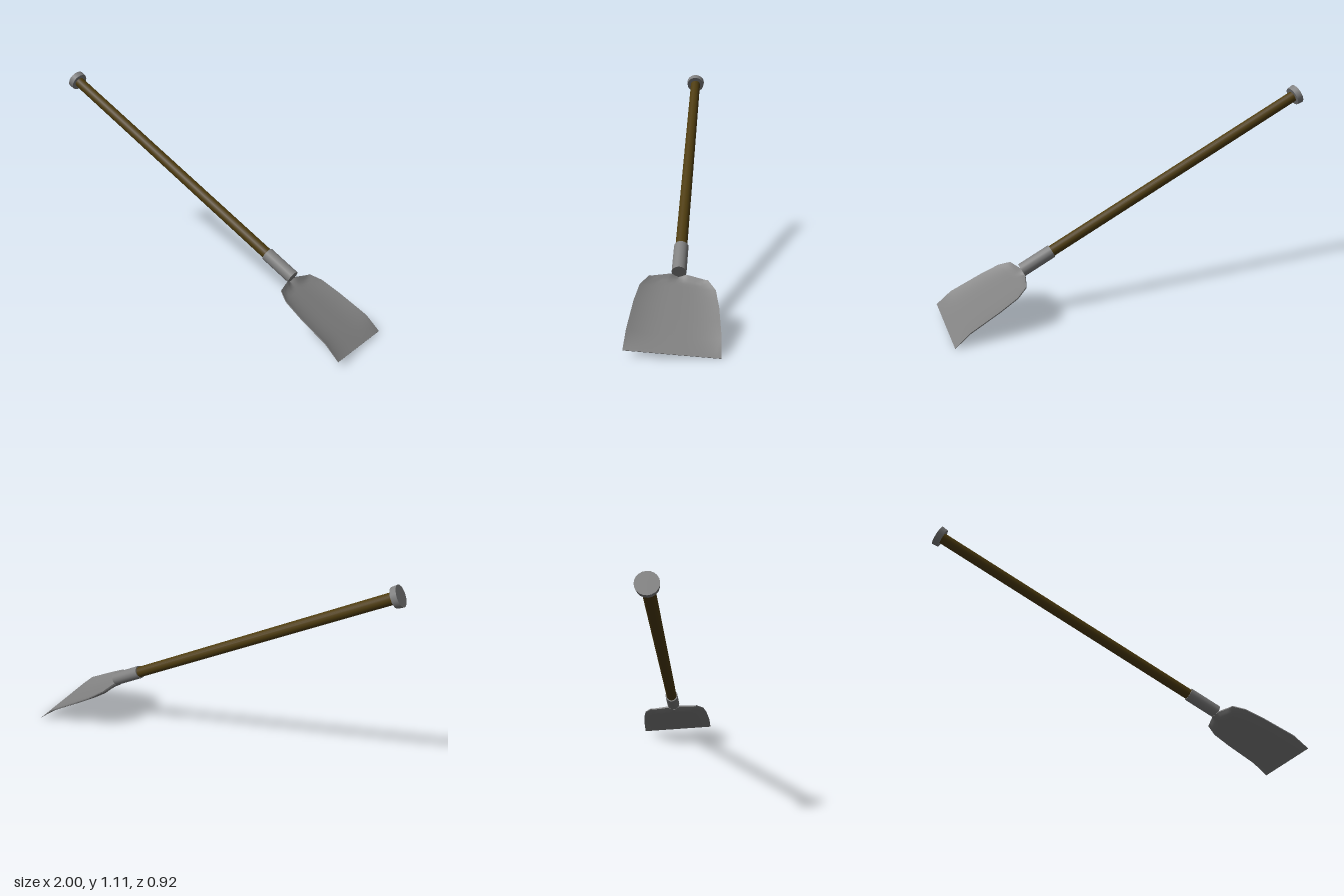
import * as THREE from 'three';
import { toCreasedNormals } from 'three/addons/utils/BufferGeometryUtils.js';

const COLS = 25, TIP = 0.483;
const clamp = THREE.MathUtils.clamp;

// Half width of the blade from the shoulder (v = 0) to the cutting edge (v = 1)
const WIDTHS = [[0, 0.14], [0.14, 0.18], [0.38, 0.198], [0.78, 0.213], [1, 0.217]];
function halfWidth(v) {
  const k = Math.max(1, WIDTHS.findIndex(([t]) => t >= v));
  const [t0, w0] = WIDTHS[k - 1], [t1, w1] = WIDTHS[k];
  return w0 + (w1 - w0) * (v - t0) / (t1 - t0);
}

// Shallow dished blade: turned-up sides and back, flattening to a sharp edge
function bladeGeometry() {
  const rows = [0, 0.03, 0.06, 0.1, 0.14, 0.25, 0.38, 0.58, 0.78, 0.9, 1];
  const pos = [], index = [], loop = COLS * 2;
  for (const v of rows) {
    for (let i = 0; i < loop; i++) {
      const top = i < COLS;
      const u = ((top ? i : loop - 1 - i) / (COLS - 1)) * 2 - 1;
      const back = -0.008 + 0.038 * Math.abs(u);
      const fade = clamp((1 - v) / 0.22, 0, 1);
      // The back lip dips at the middle, under the mouth of the socket
      const lip = clamp(1 - v / 0.08, 0, 1) * clamp(Math.abs(u) / 0.3, 0, 0.85);
      const rise = Math.max(Math.abs(u) ** 3, lip) * 0.023 * fade;
      const thick = 0.002 + 0.007 * fade * (1 - 0.5 * u ** 4);
      const floor = -0.034 + 0.002 * fade;
      pos.push(u * halfWidth(v), back + (TIP - back) * v, floor + rise - (top ? 0 : thick));
    }
  }
  for (let j = 0; j < rows.length - 1; j++) {
    for (let i = 0; i < loop; i++) {
      const a = j * loop + i, b = j * loop + (i + 1) % loop;
      index.push(a, b, b + loop, a, b + loop, a + loop);
    }
  }
  // Close the back and the cutting edge
  const last = (rows.length - 1) * loop;
  for (let i = 0; i < COLS - 1; i++) {
    const p = loop - 1 - i, q = p - 1;
    index.push(i, p, q, i, q, i + 1);
    index.push(last + i, last + q, last + p, last + i, last + i + 1, last + q);
  }
  const geo = new THREE.BufferGeometry();
  geo.setAttribute('position', new THREE.Float32BufferAttribute(pos, 3));
  geo.setIndex(index);
  return toCreasedNormals(geo, 0.6);
}

export function createModel() {
  const group = new THREE.Group();
  const metal = new THREE.MeshStandardMaterial({ color: 0x808080 });
  const wood = new THREE.MeshStandardMaterial({ color: 0x4e3c0f });

  // Tool frame: x across the blade, y along the shaft to the edge, z out of the dish
  const shovel = new THREE.Group();
  shovel.name = 'shovel';
  const along = new THREE.Vector3(0.845, -0.448, 0.293).normalize();
  const across = new THREE.Vector3(-0.28, 0.07, 0.957);
  across.addScaledVector(along, -across.dot(along)).normalize();
  const normal = new THREE.Vector3().crossVectors(across, along);
  shovel.quaternion.setFromRotationMatrix(new THREE.Matrix4().makeBasis(across, along, normal));
  shovel.position.set(0.54, 0.264, 0.112);
  group.add(shovel);

  const add = (name, geometry, material) => {
    const mesh = new THREE.Mesh(geometry, material);
    mesh.name = name;
    shovel.add(mesh);
  };
  const rod = (name, from, to, r, material, rEnd = r) => {
    const geo = new THREE.CylinderGeometry(rEnd, r, to - from, 20);
    add(name, geo.translate(0, (from + to) / 2, 0), material);
  };

  rod('handle', -1.77, -0.15, 0.0295, wood);
  rod('endCap', -1.788, -1.756, 0.054, metal, 0.051);
  rod('socket', -0.183, 0.002, 0.036, metal);
  add('blade', bladeGeometry(), metal);
  return group;
}
